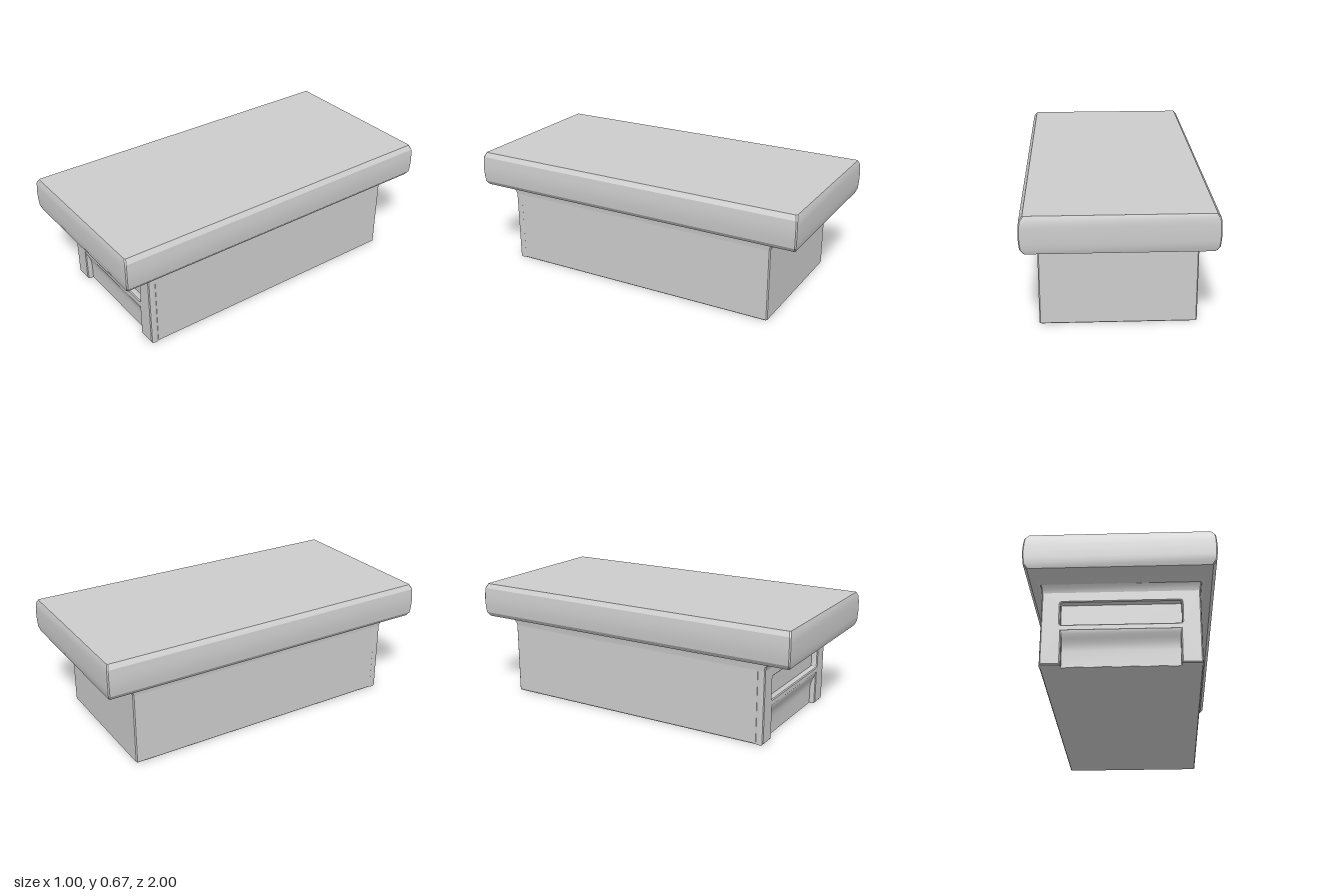
import * as THREE from 'three';
import { toCreasedNormals } from 'three/addons/utils/BufferGeometryUtils.js';

const material = new THREE.MeshStandardMaterial({ color: 0xcccccc });

function part(name, geometry, crease = 0.5) {
  const mesh = new THREE.Mesh(toCreasedNormals(geometry, crease), material);
  mesh.name = name;
  return mesh;
}

// Capped stack of rectangles with clipped corners; each level is [y, halfWidth, front, back]
function loft(levels, c) {
  const rings = levels.map(([y, w, f, b]) => [
    [w, f - c], [w, b + c], [w - c, b], [c - w, b],
    [-w, b + c], [-w, f - c], [c - w, f], [w - c, f],
  ].map(([x, z]) => [x, y, z]));
  const pos = [];
  const tri = (...p) => p.forEach((v) => pos.push(...v));
  const n = 8;
  for (let k = 0; k < rings.length - 1; k++) {
    for (let i = 0; i < n; i++) {
      const j = (i + 1) % n, a = rings[k], b = rings[k + 1];
      tri(a[i], a[j], b[j]);
      tri(a[i], b[j], b[i]);
    }
  }
  const top = rings[rings.length - 1], bottom = rings[0];
  for (let i = 1; i < n - 1; i++) {
    tri(top[0], top[i], top[i + 1]);
    tri(bottom[0], bottom[i + 1], bottom[i]);
  }
  const g = new THREE.BufferGeometry();
  g.setAttribute('position', new THREE.Float32BufferAttribute(pos, 3));
  return g;
}

function roundedRect(x, y, w, h, r) {
  const p = new THREE.Path();
  p.moveTo(x + r, y);
  p.lineTo(x + w - r, y);
  p.absarc(x + w - r, y + r, r, -Math.PI / 2, 0);
  p.lineTo(x + w, y + h - r);
  p.absarc(x + w - r, y + h - r, r, 0, Math.PI / 2);
  p.lineTo(x + r, y + h);
  p.absarc(x + r, y + h - r, r, Math.PI / 2, Math.PI);
  p.lineTo(x, y + r);
  p.absarc(x + r, y + r, r, Math.PI, Math.PI * 1.5);
  return p;
}

export function createModel() {
  const group = new THREE.Group();
  group.name = 'slabToppedPlinth';

  // Overhanging top slab with softly bulging edges
  group.add(part('topSlab', loft([
    [0.47, 0.475, 0.988, -0.988],
    [0.495, 0.494, 0.997, -0.997],
    [0.53, 0.498, 0.999, -0.999],
    [0.57, 0.5, 1, -1],
    [0.61, 0.498, 0.999, -0.999],
    [0.645, 0.494, 0.997, -0.997],
    [0.67, 0.475, 0.988, -0.988],
  ], 0.006)));

  // Flared neck beneath the slab
  group.add(part('flaredNeck', loft([
    [0.415, 0.415, 0.83, -0.83],
    [0.435, 0.417, 0.835, -0.835],
    [0.455, 0.421, 0.85, -0.85],
    [0.464, 0.43, 0.872, -0.872],
    [0.472, 0.442, 0.9, -0.9],
  ], 0.006)));

  // Main body, stopping short of the front so the recesses have a floor
  group.add(part('body', loft([
    [0, 0.41, 0.795, -0.825],
    [0.005, 0.415, 0.795, -0.83],
    [0.415, 0.415, 0.795, -0.83],
  ], 0.006)));

  // Front facing with a rounded panel opening and a notch at the foot
  const facing = new THREE.Shape([
    [-0.415, 0], [-0.305, 0], [-0.305, 0.19], [0.305, 0.19],
    [0.305, 0], [0.415, 0], [0.415, 0.423], [-0.415, 0.423],
  ].map(([x, y]) => new THREE.Vector2(x, y)));
  facing.holes.push(roundedRect(-0.313, 0.231, 0.626, 0.126, 0.008));
  const bevel = 0.008;
  const facingGeometry = new THREE.ExtrudeGeometry(facing, {
    depth: 0.02, bevelThickness: 0.015, bevelSize: bevel, bevelOffset: -bevel,
    bevelSegments: 2, curveSegments: 4,
  });
  facingGeometry.translate(0, 0, 0.795);
  group.add(part('frontFacing', facingGeometry));

  // Curved back of the foot recess, drawn in (-z, y) and swept across x
  const cove = new THREE.Shape([
    [-0.78, 0.001], [-0.78, 0.205], [-0.829, 0.205], [-0.828, 0.192], [-0.824, 0.178],
    [-0.814, 0.158], [-0.805, 0.138], [-0.799, 0.115], [-0.797, 0.09], [-0.797, 0.001],
  ].map(([x, y]) => new THREE.Vector2(x, y)));
  const coveGeometry = new THREE.ExtrudeGeometry(cove, { depth: 0.62, bevelEnabled: false });
  coveGeometry.translate(0, 0, -0.31).rotateY(Math.PI / 2);
  group.add(part('footRecess', coveGeometry));

  return group;
}
